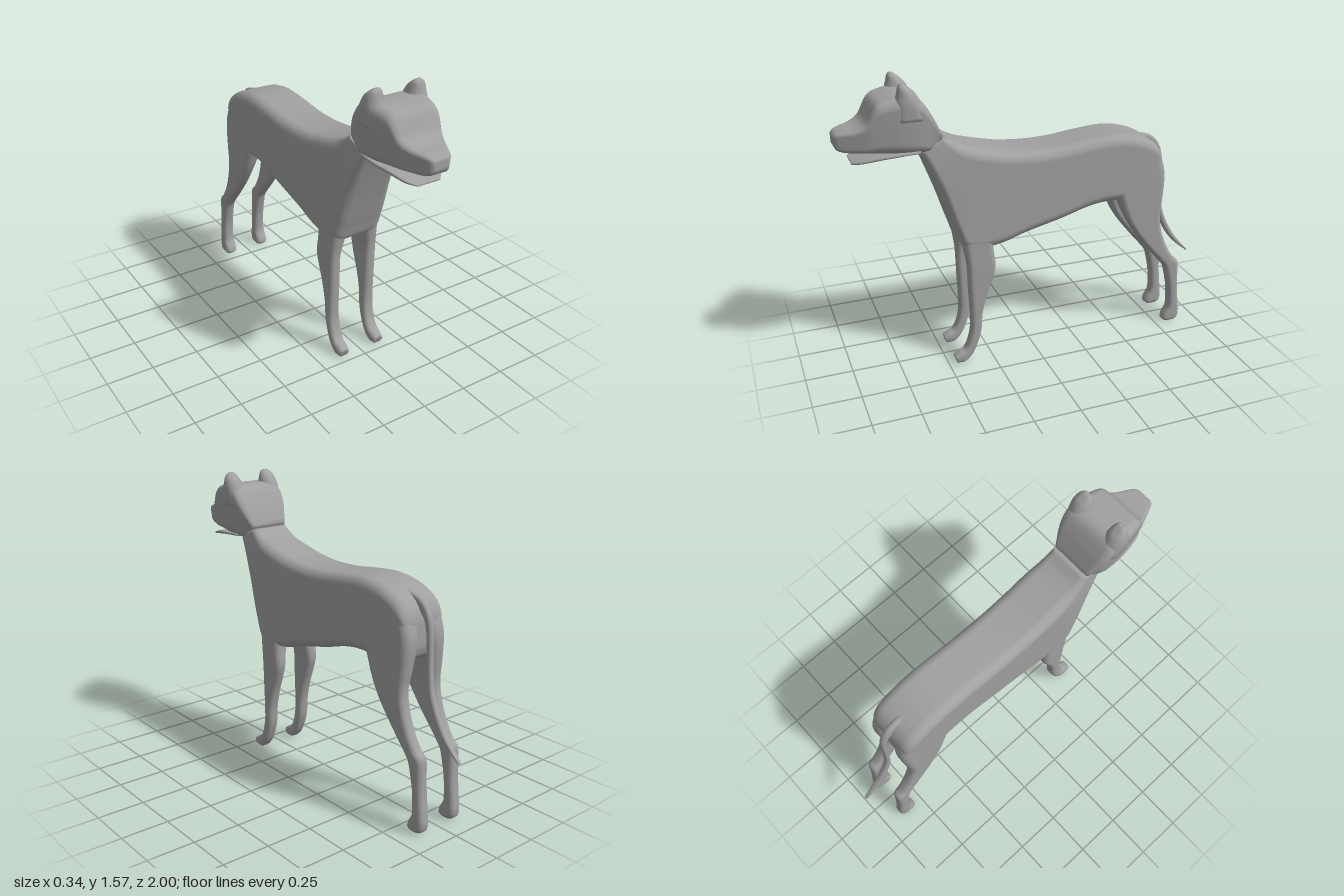
import * as THREE from 'three';

const coat = new THREE.MeshStandardMaterial({ color: 0xa0a0a0 });
coat.name = 'grey coat';

// Rounded-rectangle outline, counter-clockwise, with its corner radius as a share of the short side
function outline(hw, hh, round) {
  const r = Math.min(hw, hh) * round, pts = [];
  [[1, 1], [-1, 1], [-1, -1], [1, -1]].forEach(([sx, sy], q) => {
    for (let k = 0; k <= 6; k++) {
      const a = (q + k / 6) * Math.PI / 2;
      pts.push([sx * (hw - r) + r * Math.cos(a), sy * (hh - r) + r * Math.sin(a)]);
    }
  });
  return pts;
}

// Smooth skin over sections [zA, yA, zB, yB, halfWidth, centreX]; each spans from edge A to edge B
function loft(name, sections, { round = 0.9, taper = 1, side = 1, steps = 5 } = {}) {
  const edgeA = new THREE.CatmullRomCurve3(sections.map(s => new THREE.Vector3(s[0], s[1], s[4])), false, 'catmullrom');
  const edgeB = new THREE.CatmullRomCurve3(sections.map(s => new THREE.Vector3(s[2], s[3], s[5] || 0)), false, 'catmullrom');
  const count = (sections.length - 1) * steps, pos = [], idx = [], n = 28;
  const addRing = (t, scale) => {
    const a = edgeA.getPoint(t), b = edgeB.getPoint(t);
    const mz = (a.x + b.x) / 2, my = (a.y + b.y) / 2, dz = (a.x - b.x) / 2, dy = (a.y - b.y) / 2;
    const hh = Math.hypot(dz, dy);
    for (const [u, v] of outline(a.z, hh, round)) {
      const k = v / hh, w = THREE.MathUtils.lerp(taper, 1, (k + 1) / 2);
      pos.push(side * b.z + u * w * scale, my + dy * k * scale, mz + dz * k * scale);
    }
  };
  // shrunken first and last rings close the ends
  addRing(0, 0.001);
  addRing(0, 0.6);
  for (let i = 0; i <= count; i++) addRing(i / count, 1);
  addRing(1, 0.6);
  addRing(1, 0.001);
  for (let i = 0; i < count + 4; i++) {
    for (let j = 0; j < n; j++) {
      const a = i * n + j, b = i * n + (j + 1) % n;
      idx.push(a, a + n, b, b, a + n, b + n);
    }
  }
  const geo = new THREE.BufferGeometry();
  geo.setAttribute('position', new THREE.Float32BufferAttribute(pos, 3));
  geo.setIndex(idx);
  geo.computeVertexNormals();
  const mesh = new THREE.Mesh(geo, coat);
  mesh.name = name;
  return mesh;
}

export function createModel() {
  const dog = new THREE.Group();
  dog.name = 'dog';

  // Neck, chest, belly and rump: A is the back line, B the belly line
  dog.add(loft('body', [
    [0.47, 1.285, 0.60, 1.23, 0.115],
    [0.42, 1.25, 0.555, 1.13, 0.125],
    [0.36, 1.225, 0.485, 0.94, 0.138],
    [0.29, 1.205, 0.425, 0.76, 0.144],
    [0.22, 1.188, 0.375, 0.665, 0.145],
    [0.14, 1.172, 0.21, 0.665, 0.145],
    [0.0, 1.16, 0.05, 0.71, 0.144],
    [-0.15, 1.163, -0.15, 0.757, 0.143],
    [-0.30, 1.18, -0.30, 0.80, 0.143],
    [-0.45, 1.19, -0.42, 0.815, 0.144],
    [-0.58, 1.17, -0.55, 0.81, 0.145],
    [-0.68, 1.125, -0.66, 0.81, 0.143],
    [-0.725, 1.07, -0.72, 0.84, 0.13],
    [-0.74, 1.02, -0.74, 0.89, 0.10],
  ], { round: 0.4 }));

  // Skull and muzzle, nose to nape: A is the top, B the underside
  dog.add(loft('head', [
    [1.0, 1.33, 1.0, 1.285, 0.045],
    [0.985, 1.345, 0.985, 1.262, 0.062],
    [0.95, 1.355, 0.95, 1.25, 0.08],
    [0.90, 1.365, 0.90, 1.248, 0.103],
    [0.85, 1.395, 0.85, 1.245, 0.125],
    [0.80, 1.48, 0.80, 1.24, 0.143],
    [0.74, 1.505, 0.74, 1.235, 0.157],
    [0.68, 1.512, 0.68, 1.23, 0.167],
    [0.60, 1.50, 0.62, 1.225, 0.168],
    [0.54, 1.42, 0.57, 1.225, 0.155],
    [0.48, 1.30, 0.52, 1.225, 0.115],
  ], { round: 0.4, taper: 0.86 }));

  // Thin open lower jaw
  dog.add(loft('lowerJaw', [
    [0.925, 1.197, 0.925, 1.19, 0.065],
    [0.88, 1.21, 0.88, 1.197, 0.10],
    [0.80, 1.23, 0.80, 1.212, 0.125],
    [0.70, 1.238, 0.70, 1.224, 0.14],
    [0.60, 1.242, 0.60, 1.228, 0.138],
  ]));

  // Slim hanging tail
  dog.add(loft('tail', [
    [-0.62, 1.155, -0.64, 1.11, 0.018],
    [-0.72, 1.125, -0.70, 1.07, 0.018],
    [-0.775, 1.06, -0.745, 1.03, 0.018],
    [-0.795, 0.97, -0.765, 0.95, 0.018],
    [-0.80, 0.80, -0.775, 0.80, 0.018],
    [-0.815, 0.68, -0.785, 0.67, 0.018],
    [-0.86, 0.57, -0.833, 0.55, 0.018],
    [-0.92, 0.475, -0.905, 0.455, 0.017],
    [-1.0, 0.385, -0.995, 0.378, 0.01],
  ]));

  for (const [label, side] of [['left', 1], ['right', -1]]) {
    // Ears: A is the front, B the back
    dog.add(loft(label + 'Ear', [
      [0.72, 1.40, 0.56, 1.40, 0.053, 0.112],
      [0.715, 1.48, 0.585, 1.48, 0.055, 0.116],
      [0.70, 1.53, 0.612, 1.53, 0.047, 0.118],
      [0.692, 1.56, 0.645, 1.56, 0.033, 0.117],
      [0.683, 1.575, 0.665, 1.575, 0.016, 0.115],
    ], { side, round: 1 }));

    // Front leg: A is the back, B the front
    dog.add(loft(label + 'FrontLeg', [
      [0.24, 0.85, 0.44, 0.88, 0.055, 0.085],
      [0.235, 0.74, 0.41, 0.76, 0.055, 0.088],
      [0.235, 0.65, 0.392, 0.65, 0.042, 0.102],
      [0.228, 0.55, 0.381, 0.57, 0.035, 0.11],
      [0.25, 0.47, 0.378, 0.47, 0.034, 0.11],
      [0.28, 0.385, 0.376, 0.40, 0.034, 0.11],
      [0.305, 0.28, 0.372, 0.28, 0.034, 0.11],
      [0.315, 0.18, 0.372, 0.20, 0.034, 0.11],
      [0.337, 0.11, 0.387, 0.125, 0.034, 0.11],
      [0.365, 0.05, 0.41, 0.08, 0.034, 0.11],
      [0.41, 0.005, 0.44, 0.065, 0.034, 0.11],
      [0.455, 0.005, 0.468, 0.045, 0.028, 0.11],
    ], { side, round: 0.8 }));

    // Hind leg: A is the back, B the front
    dog.add(loft(label + 'HindLeg', [
      [-0.715, 1.08, -0.50, 1.02, 0.05, 0.085],
      [-0.757, 0.95, -0.46, 0.90, 0.055, 0.088],
      [-0.75, 0.80, -0.50, 0.77, 0.045, 0.10],
      [-0.738, 0.70, -0.542, 0.68, 0.037, 0.108],
      [-0.75, 0.61, -0.60, 0.59, 0.035, 0.11],
      [-0.785, 0.51, -0.68, 0.49, 0.034, 0.11],
      [-0.835, 0.425, -0.765, 0.39, 0.034, 0.11],
      [-0.872, 0.385, -0.79, 0.35, 0.034, 0.11],
      [-0.878, 0.30, -0.81, 0.27, 0.034, 0.11],
      [-0.883, 0.20, -0.823, 0.20, 0.034, 0.11],
      [-0.895, 0.10, -0.825, 0.10, 0.035, 0.11],
      [-0.90, 0.06, -0.802, 0.05, 0.035, 0.11],
      [-0.895, 0.025, -0.795, 0.02, 0.034, 0.11],
      [-0.88, 0.008, -0.81, 0.005, 0.026, 0.11],
    ], { side, round: 0.8 }));
  }
  return dog;
}
